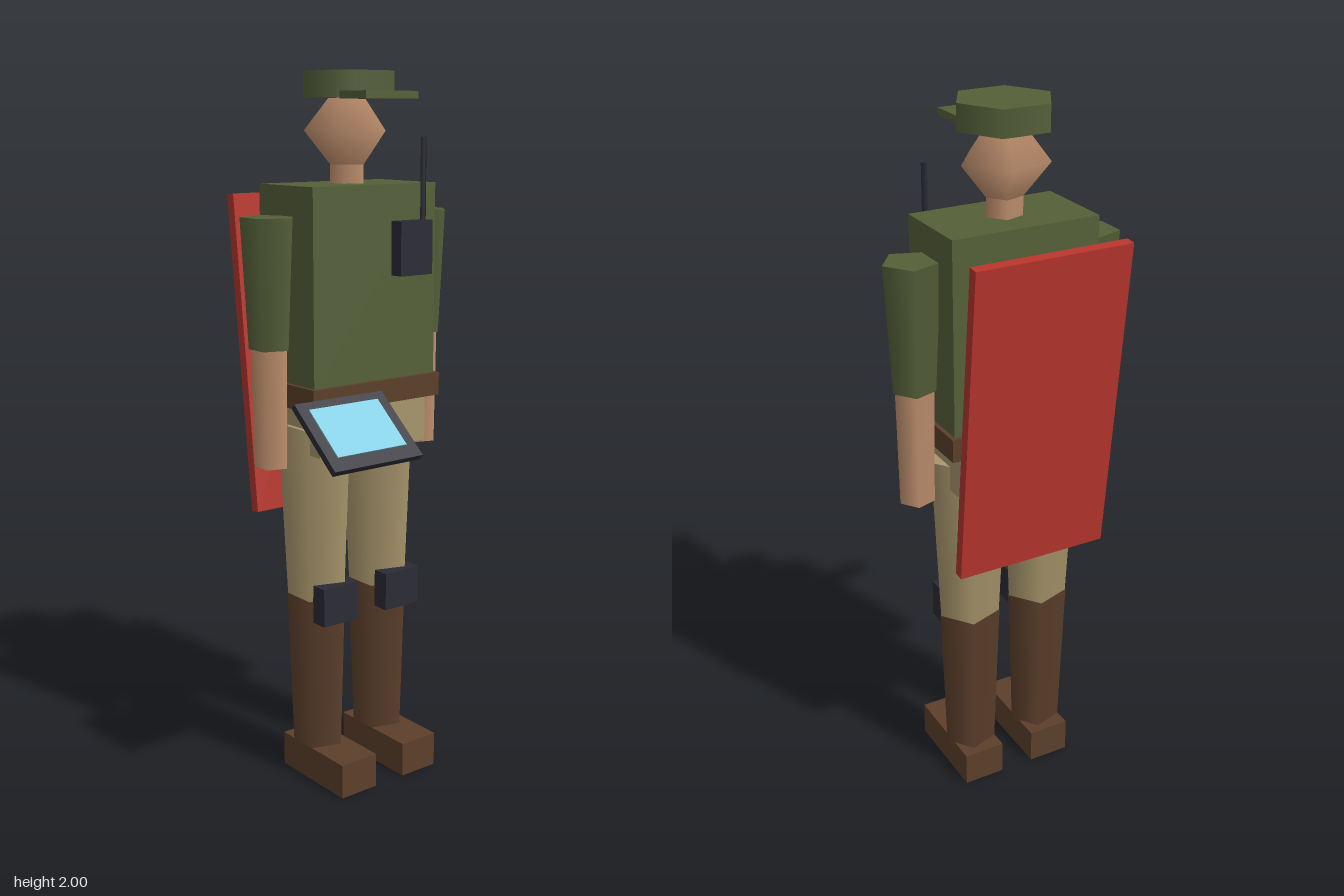
import * as THREE from 'three';

const paint = (name, color) => {
  const m = new THREE.MeshStandardMaterial({ color });
  m.name = name;
  return m;
};

export function createModel() {
  const green = paint('olive green', 0x556039);
  const khaki = paint('khaki', 0xa8966c);
  const brown = paint('leather brown', 0x5c3f2b);
  const skin = paint('skin', 0xc0906e);
  const dark = paint('dark grey', 0x2b2b35);
  const glass = paint('screen blue', 0x7fcbe0);
  const red = paint('red', 0xb8352d);

  const model = new THREE.Group();
  const body = new THREE.Group(); // body axis sits slightly behind the centre
  body.name = 'body';
  body.position.set(0.004, 0, -0.066);
  model.add(body);

  function add(parent, name, geometry, material, x, y, z) {
    const mesh = new THREE.Mesh(geometry, material);
    mesh.name = name;
    mesh.position.set(x, y, z);
    parent.add(mesh);
    return mesh;
  }
  // Box from its centre x, z range and y range
  const block = (parent, name, mat, x, w, y0, y1, z0, z1) =>
    add(parent, name, new THREE.BoxGeometry(w, y1 - y0, z1 - z0), mat, x, (y0 + y1) / 2, (z0 + z1) / 2);
  // Upright prism with one corner towards +x
  const prism = (parent, name, mat, x, z, rTop, rBottom, y0, y1, sides = 5) =>
    add(parent, name, new THREE.CylinderGeometry(rTop, rBottom, y1 - y0, sides, 1, false, Math.PI / 2),
      mat, x, (y0 + y1) / 2, z);

  // Trunk
  block(body, 'torso', green, 0, 0.42, 1.17, 1.705, -0.122, 0.12);
  block(body, 'belt', brown, 0, 0.443, 1.11, 1.175, -0.133, 0.132);
  block(body, 'hips', khaki, 0, 0.373, 0.98, 1.12, -0.112, 0.112);

  // Head and cap
  prism(body, 'neck', skin, 0, 0, 0.05, 0.05, 1.69, 1.76);
  const head = add(body, 'head', new THREE.SphereGeometry(0.12, 5, 2, Math.PI), skin, 0, 1.845, 0);
  head.scale.y = 1.28;
  prism(body, 'cap', green, 0, 0, 0.132, 0.132, 1.93, 2, 6);
  block(body, 'capBrim', green, 0, 0.177, 1.927, 1.947, 0.076, 0.187);

  // Limbs
  for (const [side, s] of [['left', 1], ['right', -1]]) {
    const arm = new THREE.Group();
    arm.name = side + 'Arm';
    arm.position.x = s * 0.265;
    body.add(arm);
    prism(arm, 'sleeve', green, 0, 0, 0.077, 0.059, 1.275, 1.625);
    prism(arm, 'forearm', skin, 0, 0, 0.054, 0.049, 0.95, 1.28);

    const leg = new THREE.Group();
    leg.name = side + 'Leg';
    leg.position.x = s * 0.111;
    body.add(leg);
    prism(leg, 'thigh', khaki, 0, 0, 0.11, 0.088, 0.55, 1.05);
    prism(leg, 'bootShaft', brown, 0, 0, 0.09, 0.075, 0.09, 0.552);
    block(leg, 'foot', brown, 0, 0.122, 0, 0.1, -0.095, 0.187);
    block(leg, 'kneePad', dark, 0, 0.122, 0.49, 0.6, 0.053, 0.107);
  }

  // Chest radio
  block(model, 'radio', dark, 0.114, 0.112, 1.46, 1.607, 0.05, 0.095);
  prism(model, 'radioAntenna', dark, 0.16, 0.067, 0.009, 0.009, 1.6, 1.828, 3);

  // Tablet tilted towards the front
  const tablet = new THREE.Group();
  tablet.name = 'tablet';
  tablet.position.set(-0.205, 1.093, 0.239);
  tablet.rotation.x = 0.7;
  model.add(tablet);
  add(tablet, 'tabletCase', new THREE.BoxGeometry(0.286, 0.018, 0.222), dark, 0, 0, 0);
  add(tablet, 'tabletScreen', new THREE.BoxGeometry(0.224, 0.004, 0.157), glass, 0, 0.01, -0.007);

  // Leaning panel behind the back
  const panel = add(model, 'backPanel', new THREE.BoxGeometry(0.443, 0.9, 0.03), red, 0.004, 1.225, -0.268);
  panel.rotation.x = -0.105;

  return model;
}
